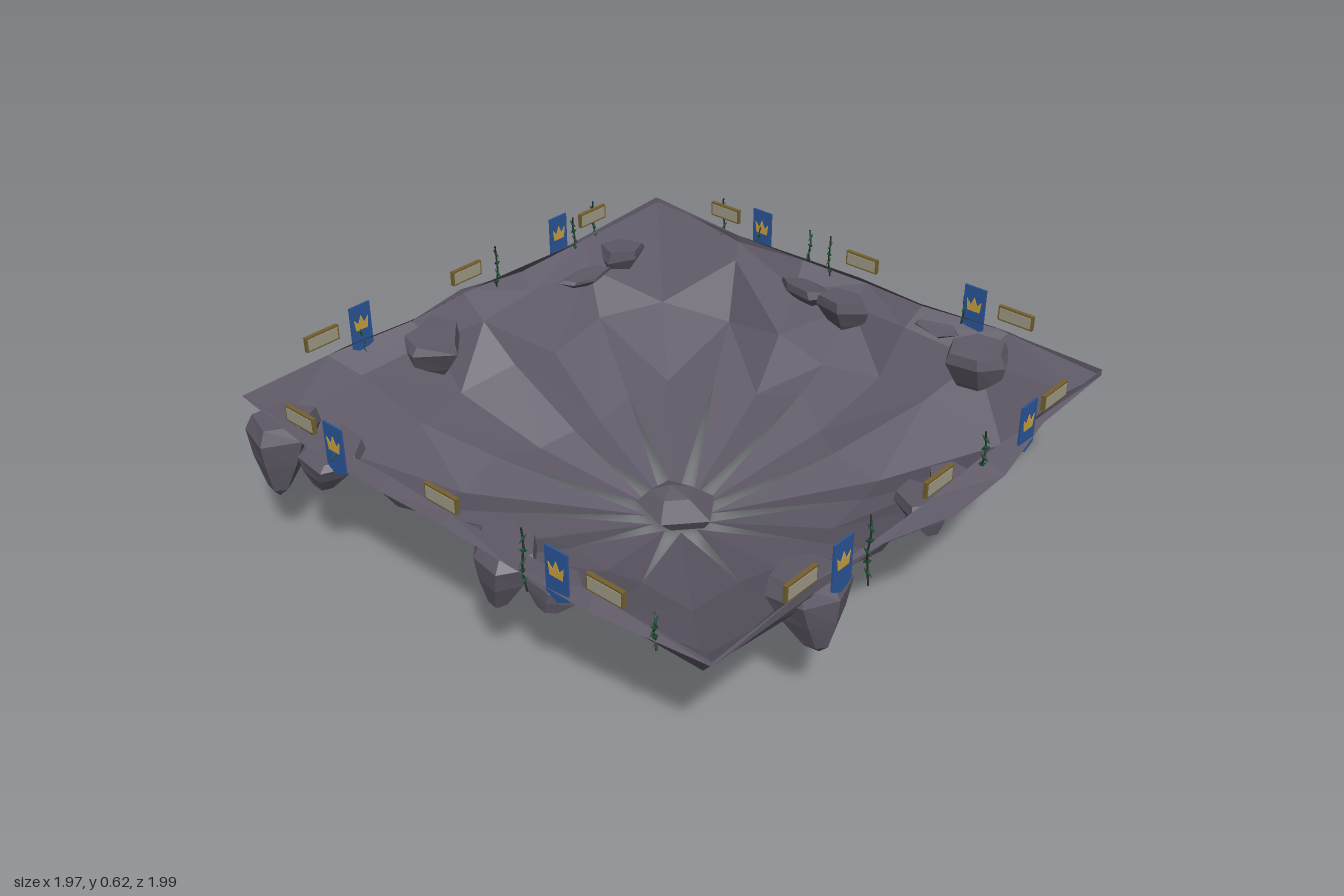
import * as THREE from 'three';

const mat = (name, color, side = THREE.FrontSide) => {
  const m = new THREE.MeshStandardMaterial({ color, side });
  m.name = name;
  return m;
};

// Faceted copy of a geometry
function faceted(geometry) {
  const g = geometry.index ? geometry.toNonIndexed() : geometry;
  g.computeVertexNormals();
  return g;
}

function add(parent, name, geometry, material, x = 0, y = 0, z = 0) {
  const mesh = new THREE.Mesh(geometry, material);
  mesh.name = name;
  mesh.position.set(x, y, z);
  parent.add(mesh);
  return mesh;
}

function shapeOf(points) {
  return new THREE.Shape(points.map(([x, y]) => new THREE.Vector2(x, y)));
}

// Direction i of 24, stretched onto a square; i = 0 is the front
function squarePoint(i, size, y) {
  const a = (i * Math.PI) / 12;
  const s = Math.sin(a), c = Math.cos(a);
  const k = size / Math.max(Math.abs(s), Math.abs(c));
  return [s * k, y, c * k];
}

// Open square bowl whose bottom splits into twelve pointed ribs
function shellGeometry() {
  const wob = (i, n, amount) => Math.sin(i * 2.4 + n * 1.9) * amount;
  const edge = [1, 0.99, 0.94, 0.92, 0.97, 0.93, 0.97, 0.93, 0.92, 0.99, 0.95, 0.95,
    0.98, 0.94, 0.98, 0.925, 0.95, 0.96, 0.96, 0.95, 0.97, 0.925, 0.92, 0.94];
  const slit = [0.51, 0.5, 0.46, 0.62, 0.52, 0.47, 0.46, 0.52, 0.5, 0.47, 0.46, 0.48];
  const rings = [[], [], [], [], []];
  for (let i = 0; i < 24; i++) {
    const corner = i % 6 === 3 ? 1 : 0;
    const tip = i % 2 ? (slit[(i - 1) / 2] + slit[((i + 1) / 2) % 12]) / 2 : slit[i / 2];
    rings[0].push(squarePoint(i, tip - corner * 0.03, 0.14 * tip / 0.48 + (i % 2 ? -0.015 : 0.012)));
    rings[1].push(squarePoint(i, 0.75 - corner * 0.04 + wob(i, 1, 0.025), 0.27 + wob(i, 2, 0.025)));
    rings[2].push(squarePoint(i, 0.875 - corner * 0.03 + wob(i, 3, 0.012), 0.42 + wob(i, 4, 0.015)));
    rings[3].push(squarePoint(i, edge[i], 0.485 + corner * 0.012 + wob(i, 5, 0.012)));
    rings[4].push(squarePoint(i, 0.92, 0.51 + wob(i, 6, 0.008)));
  }
  const verts = [];
  const tri = (...corners) => corners.forEach((p) => verts.push(...p));
  for (let i = 0; i < 24; i++) {
    const j = (i + 1) % 24;
    for (let k = 0; k < 4; k++) {
      const a = rings[k][i], b = rings[k][j], c = rings[k + 1][j], d = rings[k + 1][i];
      if (i % 2) { tri(a, b, c); tri(a, c, d); } else { tri(a, b, d); tri(b, c, d); }
    }
    // Half of a rib, narrowing to a point near the centre
    const odd = i % 2 ? i : j;
    const t = (odd * Math.PI) / 12;
    tri([Math.sin(t) * 0.1, 0.022, Math.cos(t) * 0.1], rings[0][j], rings[0][i]);
  }
  const g = new THREE.BufferGeometry();
  g.setAttribute('position', new THREE.Float32BufferAttribute(verts, 3));
  g.computeVertexNormals();
  return g;
}

// Hanging rock: flat top, tapering to a tip that leans outward
function rockGeometry(rx, rz, height, seed, leanX, leanZ, sides) {
  const profile = [[0, 0], [0.32, 0.12], [0.74, 0.5], [1, 0.82], [0.85, 1], [0, 1]];
  const g = new THREE.LatheGeometry(profile.map(([r, y]) => new THREE.Vector2(r, y)), sides);
  const p = g.attributes.position;
  for (let i = 0; i < p.count; i++) {
    const x = p.getX(i), y = p.getY(i), z = p.getZ(i);
    const k = 1.08 + 0.14 * Math.sin(2 * Math.atan2(z, x) + seed * 1.7 + y);
    p.setXYZ(i, x * k * rx + leanX * (1 - y),
      y * height + (y > 0.9 ? x * 0.015 * Math.sin(seed) : 0),
      z * k * rz + leanZ * (1 - y));
  }
  return faceted(g);
}

// Lopsided rock with a raised, off-centre peak
function plugGeometry() {
  const profile = [[0, 0], [0.09, 0.008], [0.135, 0.045], [0.07, 0.09], [0, 0.11]];
  const g = new THREE.LatheGeometry(profile.map(([r, y]) => new THREE.Vector2(r, y)), 5);
  const p = g.attributes.position;
  for (let i = 0; i < p.count; i++) {
    const y = p.getY(i);
    p.setXYZ(i, p.getX(i), y - p.getX(i) * 0.08, p.getZ(i) - y * 0.5);
  }
  return faceted(g);
}

export function createModel() {
  const model = new THREE.Group();
  model.name = 'floatingRockBase';
  const rock = mat('rock', 0x5f5a67, THREE.DoubleSide);
  const boulder = mat('boulder', 0x5e5966);
  const blue = mat('bannerBlue', 0x2a5596);
  const gold = mat('crownGold', 0xc8a040);
  const frame = mat('plaqueFrame', 0x74602f);
  const panel = mat('plaquePanel', 0xa09b86);
  const stem = mat('vineStem', 0x26302a);
  const leaf = mat('vineLeaf', 0x1f5538);

  add(model, 'rockShell', shellGeometry(), rock);

  // Rock plugging the middle of the ribs
  add(model, 'centreRock', plugGeometry(), boulder, 0.01, 0, 0.01);

  // Hanging rocks: x, z, bottom, top, half width, half depth
  const rocks = [
    [-0.87, -0.81, 0.2, 0.46, 0.1, 0.1], [-0.87, -0.57, 0.33, 0.46, 0.09, 0.11],
    [-0.24, -0.86, 0.24, 0.47, 0.11, 0.11], [0.45, -0.83, 0.36, 0.43, 0.1, 0.05],
    [0.65, -0.85, 0.28, 0.46, 0.085, 0.08], [0.84, -0.17, 0.36, 0.46, 0.06, 0.1],
    [0.84, -0.01, 0.28, 0.47, 0.075, 0.085], [0.83, 0.53, 0.23, 0.48, 0.09, 0.1],
    [0.9, 0.33, 0.39, 0.46, 0.05, 0.09], [-0.86, 0.15, 0.26, 0.46, 0.09, 0.1],
    [-0.85, 0.33, 0.33, 0.43, 0.06, 0.09], [-0.46, 0.85, 0.24, 0.48, 0.105, 0.1],
    [0.05, 0.85, 0.34, 0.46, 0.08, 0.085], [0.21, 0.84, 0.38, 0.44, 0.075, 0.06],
  ];
  rocks.forEach(([x, z, low, high, rx, rz], i) => {
    const onSide = Math.abs(x) > Math.abs(z);
    const g = rockGeometry(rx, rz, high - low, i, onSide ? Math.sign(x) * 0.05 : 0,
      onSide ? 0 : Math.sign(z) * 0.05, 5 + (i % 2));
    add(model, 'hangingRock', g, boulder, x, low, z);
  });

  // Banner cloth and crown outlines
  const cloth = new THREE.ExtrudeGeometry(shapeOf([[-0.04, 0.62], [-0.04, 0.475], [0, 0.455],
    [0.04, 0.475], [0.04, 0.62]]), { depth: 0.006, bevelEnabled: false });
  const crown = new THREE.ExtrudeGeometry(shapeOf([[-0.023, 0.535], [0.023, 0.535], [0.028, 0.575],
    [0.012, 0.557], [0, 0.585], [-0.012, 0.557], [-0.028, 0.575]]), { depth: 0.01, bevelEnabled: false });
  const frameBox = new THREE.BoxGeometry(0.125, 0.05, 0.013);
  const panelBox = new THREE.BoxGeometry(0.113, 0.038, 0.017);

  // Two banners and three plaques along each edge
  for (let s = 0; s < 4; s++) {
    const side = new THREE.Group();
    side.name = 'edgeDecorations';
    side.rotation.y = (s * Math.PI) / 2;
    side.position.x = -0.008;
    for (const x of [-0.44, 0.44]) {
      add(side, 'banner', cloth, blue, x, 0, 0.945);
      add(side, 'bannerCrown', crown, gold, x, 0, 0.943);
    }
    for (const x of [-0.6, 0, 0.6]) {
      add(side, 'plaqueFrame', frameBox, frame, x, 0.57, 0.938);
      add(side, 'plaquePanel', panelBox, panel, x, 0.57, 0.938);
    }
    model.add(side);
  }

  // Thin vines: x, z, bottom, top
  const vines = [
    [-0.32, 0.94, 0.4, 0.62], [0.22, 0.94, 0.46, 0.62], [0.13, -0.94, 0.42, 0.62],
    [0.5, -0.94, 0.42, 0.6], [0.61, -0.95, 0.42, 0.62], [-0.45, -0.95, 0.45, 0.55],
    [-0.945, 0.76, 0.47, 0.58], [-0.95, 0.31, 0.42, 0.62], [-0.95, -0.45, 0.45, 0.6],
    [0.94, -0.62, 0.4, 0.62], [0.94, -0.45, 0.4, 0.56], [0.935, -0.14, 0.42, 0.62],
    [0.94, 0.4, 0.35, 0.57], [0.94, -0.23, 0.45, 0.61],
  ];
  const leafShape = new THREE.OctahedronGeometry(1, 0);
  vines.forEach(([x, z, low, high], n) => {
    const vine = new THREE.Group();
    vine.name = 'vine';
    const points = [];
    for (let i = 0; i < 5; i++) {
      points.push(new THREE.Vector3(x + 0.006 * Math.sin(i * 2 + n), low + (high - low) * i / 4,
        z + 0.006 * Math.cos(i * 2.3 + n)));
    }
    const curve = new THREE.CatmullRomCurve3(points);
    add(vine, 'vineStem', new THREE.TubeGeometry(curve, 10, 0.003, 5), stem);
    // Leaves stand square to the edge of the base
    const turn = Math.abs(x) > Math.abs(z) ? 0 : Math.PI / 2;
    for (let i = 1; i < 6; i++) {
      const p = curve.getPoint(i / 6);
      const m = add(vine, 'vineLeaf', leafShape, leaf, p.x, p.y, p.z);
      m.scale.set(0.018, 0.008, 0.004);
      m.rotation.set(0, turn, i % 2 ? 0.6 : -0.6);
    }
    model.add(vine);
  });

  return model;
}
